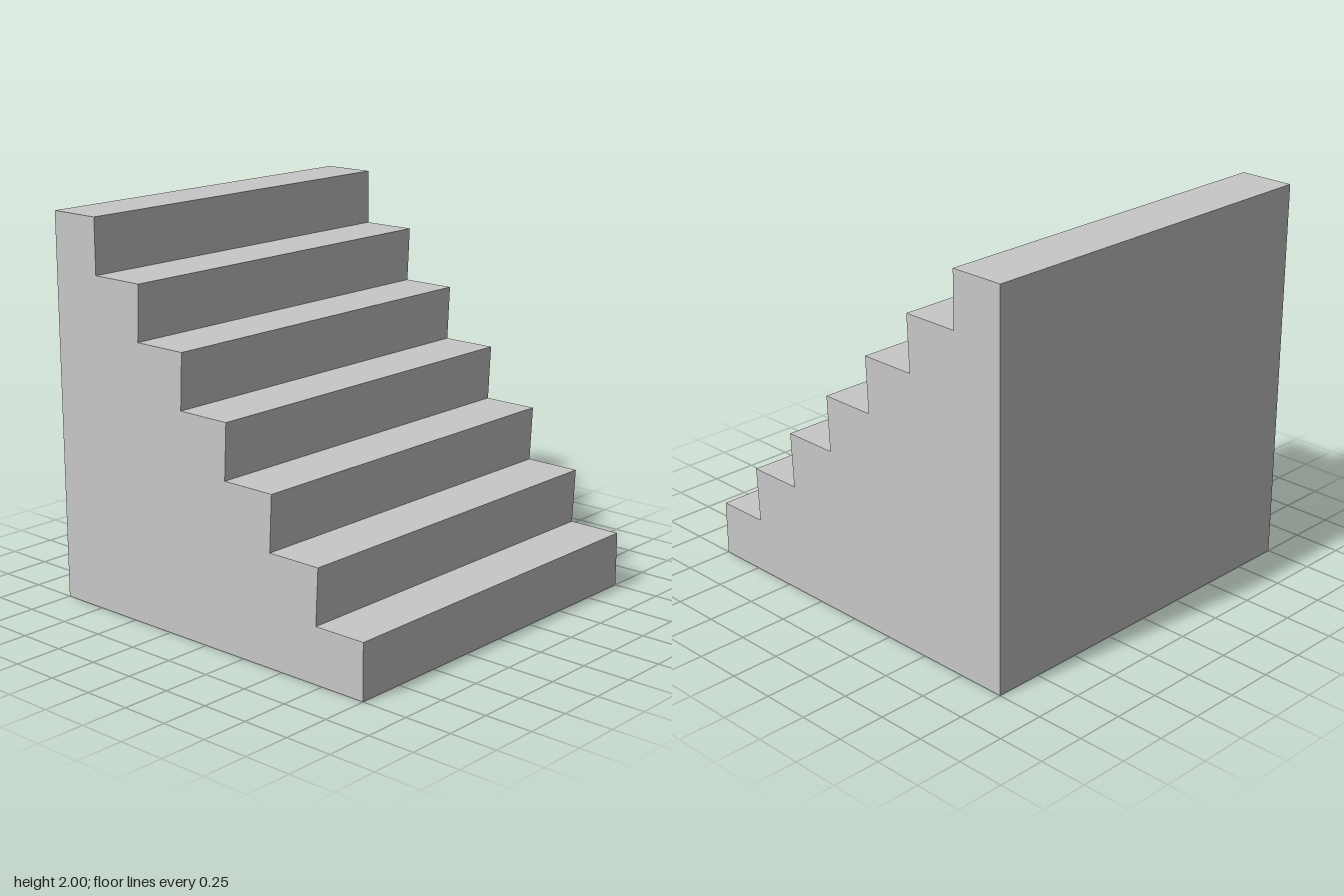
import * as THREE from 'three';

const STEPS = 7;
const PITCH = 2 / STEPS; // rise and run of each step
const OVERHANG = 0.014;  // forward lean of the middle risers

export function createModel() {
  const group = new THREE.Group();
  group.name = 'staircase';
  const stone = new THREE.MeshStandardMaterial({ color: 0xc8c8c8, side: THREE.DoubleSide });
  stone.name = 'lightGrey';

  const add = (name, geometry) => {
    const mesh = new THREE.Mesh(geometry, stone);
    mesh.name = name;
    group.add(mesh);
  };

  // Full-width panel between two [z, y] points of the profile
  const panel = (name, [z0, y0], [z1, y1]) => {
    const geometry = new THREE.PlaneGeometry(2, Math.hypot(z1 - z0, y1 - y0));
    geometry.rotateX(Math.atan2(z1 - z0, y1 - y0));
    geometry.translate(0, (y0 + y1) / 2, (z0 + z1) / 2);
    add(name, geometry);
  };

  // Stepped profile, climbing from front to back: riser foot, then nosing
  const profile = [];
  for (let i = 0; i < STEPS; i++) {
    const z = 1 - i * PITCH;
    const lean = i > 0 && i < STEPS - 1 ? OVERHANG : 0;
    profile.push([z, i * PITCH], [z + lean, (i + 1) * PITCH]);
  }
  profile.push([-1, 2], [-1, 0]);

  // Risers, treads and back wall; the underside stays open
  for (let i = 0; i < STEPS; i++) {
    panel(`riser${i + 1}`, profile[2 * i], profile[2 * i + 1]);
    panel(`tread${i + 1}`, profile[2 * i + 1], profile[2 * i + 2]);
  }
  panel('backWall', [-1, 2], [-1, 0]);

  // Stepped side walls, facing outward
  for (const side of [1, -1]) {
    const shape = new THREE.Shape(profile.map(([z, y]) => new THREE.Vector2(-side * z, y)));
    const geometry = new THREE.ShapeGeometry(shape);
    geometry.rotateY(side * Math.PI / 2);
    geometry.translate(side, 0, 0);
    add(side > 0 ? 'leftWall' : 'rightWall', geometry);
  }

  return group;
}
